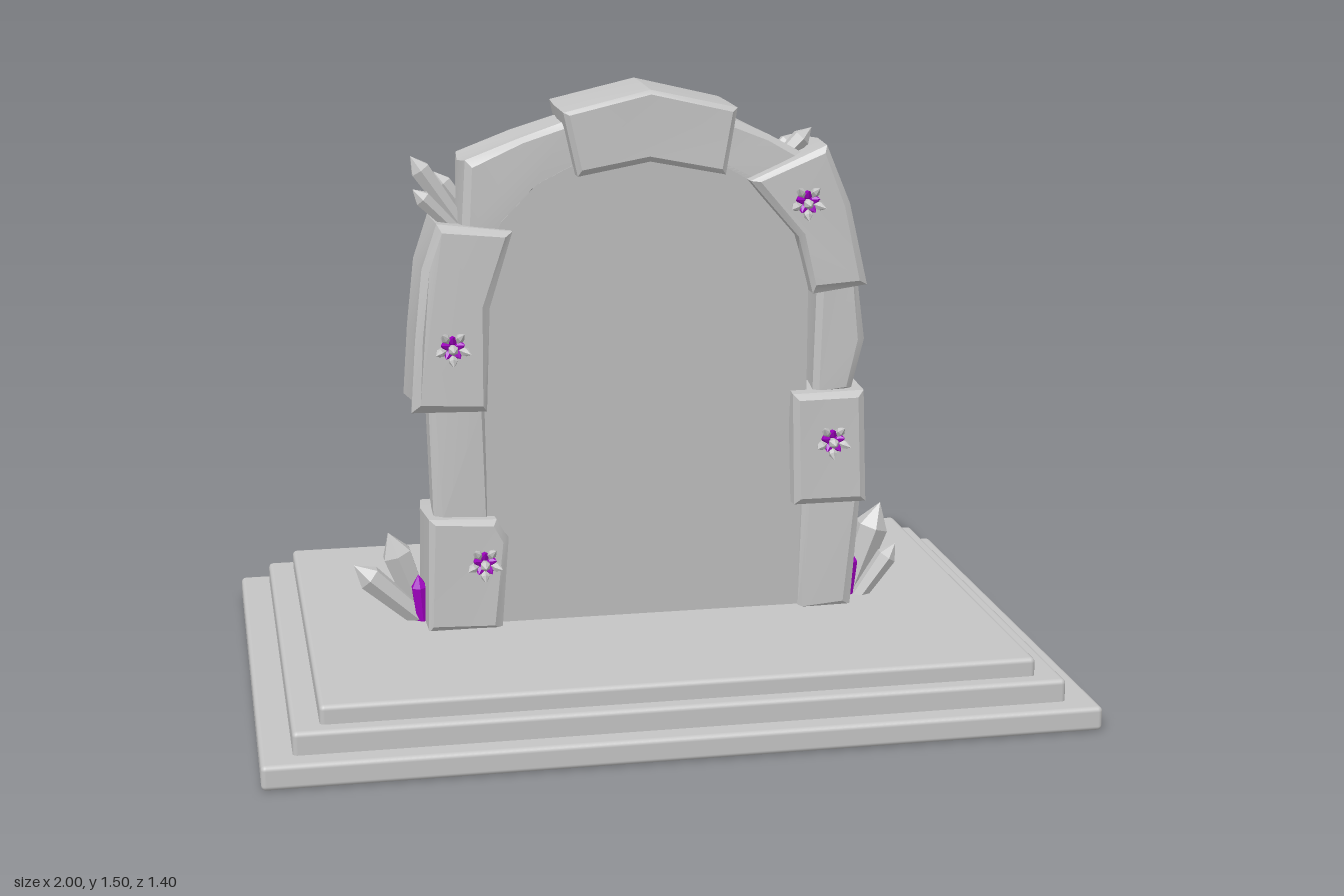
import * as THREE from 'three';
import { toCreasedNormals } from 'three/addons/utils/BufferGeometryUtils.js';
import { RoundedBoxGeometry } from 'three/addons/geometries/RoundedBoxGeometry.js';

const mat = (name, color) => {
  const m = new THREE.MeshStandardMaterial({ color });
  m.name = name;
  return m;
};

export function createModel() {
  const stoneGrey = mat('stone grey', 0xc4c4c4);
  const veilGrey = mat('portal grey', 0xbcbcbc);
  const purple = mat('crystal purple', 0xa000c0);
  const model = new THREE.Group();
  model.name = 'stoneArchPortal';

  const add = (parent, name, geo, material) => {
    const mesh = new THREE.Mesh(geo, material);
    mesh.name = name;
    parent.add(mesh);
    return mesh;
  };
  const outline = pts => new THREE.Shape(pts.map(p => new THREE.Vector2(...p)));

  // Stepped plinth
  [[1, 0.7, 0, 0.06], [0.925, 0.645, 0.06, 0.115], [0.86, 0.605, 0.115, 0.16]].forEach(([x, z, y0, y1], i) => {
    const y = i ? y0 - 0.03 : y0;
    add(model, 'plinthStep' + (i + 1), new RoundedBoxGeometry(x * 2, y1 - y, z * 2, 3, 0.012), stoneGrey)
      .position.y = (y + y1) / 2;
  });

  // Rough block: bevelled outline with slightly chipped, uneven surfaces
  const stone = (name, pts, z0, z1, bevel = 0.016, rough = 0.006) => {
    const geo = new THREE.ExtrudeGeometry(outline(pts), {
      depth: z1 - z0 - 2 * bevel, steps: 2, bevelEnabled: true, bevelSegments: 1,
      bevelSize: bevel, bevelThickness: bevel, bevelOffset: -bevel
    });
    geo.translate(0, 0, z0 + bevel);
    const p = geo.attributes.position;
    for (let i = 0; i < p.count; i++) {
      const x = p.getX(i), y = p.getY(i), z = p.getZ(i);
      p.setXYZ(i, x + rough * Math.sin(37 * y + 29 * z), Math.max(0.15, y + rough * Math.sin(31 * x + 41 * z)),
        THREE.MathUtils.clamp(z + rough * Math.sin(23 * x + 17 * y), z0, z1));
    }
    return add(model, name, toCreasedNormals(geo, 0.45), stoneGrey);
  };

  // Wide stones stand proud, narrow ones sit recessed between them
  const B = -0.1, F = 0.145;
  stone('leftFootStone', [[-0.56, 0.15], [-0.375, 0.15], [-0.35, 0.38], [-0.39, 0.44], [-0.56, 0.445]], B, F);
  stone('leftLowerStone', [[-0.535, 0.42], [-0.395, 0.42], [-0.395, 0.74], [-0.54, 0.74]], -0.085, 0.11);
  stone('leftShoulderStone', [[-0.585, 0.72], [-0.4, 0.72], [-0.4, 0.98], [-0.34, 1.155], [-0.52, 1.18], [-0.555, 1.07], [-0.575, 0.9]], B, F);
  stone('leftArchStone', [[-0.46, 1.14], [-0.35, 1.13], [-0.27, 1.24], [-0.16, 1.29], [-0.18, 1.43], [-0.31, 1.38], [-0.45, 1.325]], -0.085, 0.1);
  stone('keystone', [[-0.18, 1.29], [0, 1.325], [0.185, 1.29], [0.215, 1.45], [0, 1.5], [-0.215, 1.45]], B, F, 0.012, 0.004);
  stone('rightArchStone', [[0.16, 1.3], [0.27, 1.24], [0.36, 1.16], [0.43, 1.31], [0.31, 1.37], [0.19, 1.43]], -0.085, 0.1);
  stone('rightShoulderStone', [[0.25, 1.265], [0.37, 1.13], [0.41, 0.985], [0.555, 1.0], [0.51, 1.2], [0.445, 1.35]], B, F);
  stone('rightUpperStone', [[0.43, 0.71], [0.53, 0.71], [0.555, 0.85], [0.535, 1.02], [0.43, 1.02]], -0.09, 0.115);
  stone('rightMiddleStone', [[0.37, 0.44], [0.555, 0.44], [0.555, 0.73], [0.37, 0.73]], B, F);
  stone('rightFootStone', [[0.39, 0.15], [0.525, 0.15], [0.545, 0.46], [0.395, 0.46]], -0.075, 0.13);

  // Portal filling the opening
  const veil = outline([[-0.41, 0.15], [0.41, 0.15], [0.41, 1.08], [0.36, 1.18], [0.27, 1.27],
    [0.17, 1.32], [0, 1.345], [-0.17, 1.32], [-0.27, 1.27], [-0.36, 1.18], [-0.41, 1.08]]);
  add(model, 'portal', new THREE.ExtrudeGeometry(veil, { depth: 0.065, bevelEnabled: false }), veilGrey)
    .position.z = 0.035;

  // Stepped rubble behind both feet
  stone('rightRubble', [[0.13, 0.15], [0.42, 0.15], [0.42, 0.36], [0.34, 0.385], [0.28, 0.36], [0.26, 0.29], [0.18, 0.29]], -0.115, 0.04, 0.01);
  stone('leftRubble', [[-0.12, 0.15], [-0.42, 0.15], [-0.42, 0.34], [-0.3, 0.33], [-0.27, 0.25], [-0.16, 0.23]], -0.1, 0.04, 0.01);

  // Six-sided pointed crystal running from one point to another
  const crystal = (parent, name, from, to, r, material) => {
    const a = new THREE.Vector3(...from), d = new THREE.Vector3(...to).sub(a), h = d.length();
    const profile = [[0, 0], [r * 0.75, 0], [r, h - r * 1.5], [0, h]].map(p => new THREE.Vector2(...p));
    const geo = new THREE.LatheGeometry(profile, 6).toNonIndexed();
    geo.computeVertexNormals();
    const mesh = add(parent, name, geo, material);
    mesh.position.copy(a);
    mesh.quaternion.setFromUnitVectors(new THREE.Vector3(0, 1, 0), d.normalize());
  };

  // Larger crystals beside the feet and on the shoulders: from, to, radius, purple?
  const clusters = {
    leftFootCrystals: [
      [[-0.56, 0.15, 0.03], [-0.735, 0.31, 0.035], 0.034],
      [[-0.56, 0.15, 0], [-0.645, 0.38, 0], 0.04],
      [[-0.565, 0.15, 0.045], [-0.575, 0.28, 0.045], 0.022, 1]],
    rightFootCrystals: [
      [[0.555, 0.15, 0], [0.64, 0.39, 0], 0.044],
      [[0.57, 0.15, 0.045], [0.67, 0.29, 0.045], 0.027],
      [[0.54, 0.15, 0.04], [0.548, 0.285, 0.04], 0.024, 1]],
    leftShoulderCrystals: [
      [[-0.45, 1.16, 0.02], [-0.57, 1.335, 0.02], 0.027],
      [[-0.47, 1.16, 0.05], [-0.57, 1.26, 0.06], 0.022],
      [[-0.42, 1.17, -0.01], [-0.51, 1.29, -0.02], 0.024]],
    rightShoulderCrystals: [
      [[0.33, 1.29, 0.05], [0.425, 1.385, 0.05], 0.024],
      [[0.32, 1.3, 0.02], [0.39, 1.365, 0.01], 0.018]]
  };
  for (const [name, list] of Object.entries(clusters)) {
    const group = new THREE.Group();
    group.name = name;
    list.forEach(([a, b, r, p]) => crystal(group, p ? 'purpleCrystal' : 'greyCrystal', a, b, r, p ? purple : stoneGrey));
    model.add(group);
  }

  // Small sprays of crystals on the front of the wide stones
  [[-0.49, 0.885], [-0.42, 0.335], [0.465, 0.605], [0.39, 1.215]].forEach(([x, y], i) => {
    const spray = new THREE.Group();
    spray.name = 'frontCrystalSpray' + (i + 1);
    for (let k = 0; k < 5; k++) {
      const t = Math.PI * (-0.5 + 0.4 * k), c = Math.cos(t), s = Math.sin(t);
      crystal(spray, 'greyCrystal', [0, 0, -0.01], [c * 0.045, s * 0.045, 0.035], 0.011, stoneGrey);
      const u = t + Math.PI * 0.2;
      crystal(spray, 'purpleCrystal', [0, 0, -0.01], [Math.cos(u) * 0.03, Math.sin(u) * 0.03, 0.03], 0.012, purple);
    }
    crystal(spray, 'greyCrystal', [0, 0, -0.01], [0, -0.005, 0.05], 0.013, stoneGrey);
    spray.position.set(x, y, 0.143);
    model.add(spray);
  });

  return model;
}
